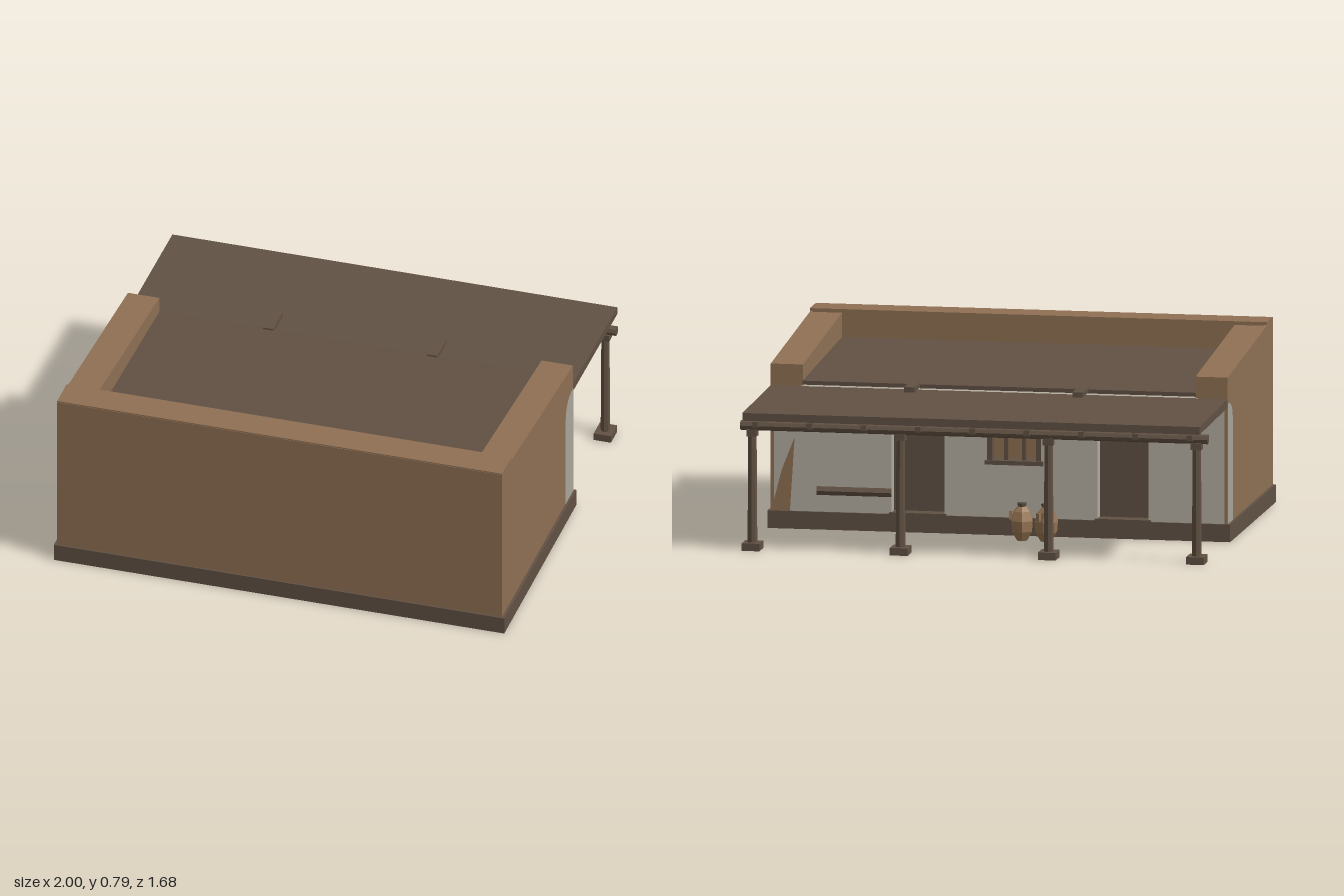
import * as THREE from 'three';

export function createModel() {
  const model = new THREE.Group();
  const mat = (name, color, side = THREE.FrontSide) =>
    Object.assign(new THREE.MeshStandardMaterial({ color, side, flatShading: true }), { name });
  const adobe = mat('adobe', 0x8f7054);
  const wood = mat('wood', 0x615143);
  const plaster = mat('plaster', 0xb4aea0);
  const clay = mat('clay', 0x977653);
  const bareAdobe = mat('bareAdobe', 0x8f7054, THREE.DoubleSide);
  const limewash = mat('limewash', 0xa9a69b, THREE.DoubleSide);

  const add = (name, geo, material, parent = model) => {
    const m = new THREE.Mesh(geo, material);
    m.name = name;
    parent.add(m);
    return m;
  };
  // Box given by its min and max along each axis
  const box = (name, material, x0, x1, y0, y1, z0, z1, parent = model) => {
    const m = add(name, new THREE.BoxGeometry(x1 - x0, y1 - y0, z1 - z0), material, parent);
    m.position.set((x0 + x1) / 2, (y0 + y1) / 2, (z0 + z1) / 2);
    return m;
  };
  const shapeOf = pts => new THREE.Shape(pts.map(p => new THREE.Vector2(p[0], p[1])));
  // Extrude a [z, y] outline along x between two x values, in either order
  const slab = (name, material, pts, xa, xb, parent = model) => {
    const depth = Math.abs(xb - xa);
    const g = new THREE.ExtrudeGeometry(shapeOf(pts.map(([z, y]) => [-z, y])), { depth, bevelEnabled: false });
    g.rotateY(Math.PI / 2).translate(Math.min(xa, xb), 0, 0);
    return add(name, g, material, parent);
  };

  // Outer walls: thin shell, open underneath
  box('frontWall', adobe, -0.978, 0.978, 0.01, 0.785, 0.822, 0.834);
  const sideOutline = [[0.822, 0.01], [-0.195, 0.01], [-0.195, 0.70], [0.70, 0.775], [0.822, 0.78]];
  for (const s of [-1, 1]) {
    slab('sideWall', adobe, sideOutline, s * 0.964, s * 0.978);
    // Hollow sloping parapet: coping, inner face and back end
    slab('sideCoping', adobe, [[0.70, 0.763], [-0.195, 0.688], [-0.195, 0.70], [0.70, 0.775]], s * 0.84, s * 0.964);
    slab('sideParapetFace', adobe, [[0.70, 0.66], [-0.195, 0.61], [-0.195, 0.69], [0.70, 0.765]], s * 0.84, s * 0.85);
    box('sideParapetEnd', adobe, s * 0.907 - 0.057, s * 0.907 + 0.057, 0.60, 0.69, -0.195, -0.185);
  }
  box('frontCoping', adobe, -0.978, 0.978, 0.778, 0.79, 0.695, 0.832);
  box('frontParapetFace', adobe, -0.964, 0.964, 0.66, 0.78, 0.695, 0.705);

  // Plinth band round the base
  const plinth = new THREE.Group();
  plinth.name = 'plinth';
  model.add(plinth);
  box('plinthFront', wood, -0.99, 0.99, 0, 0.075, 0.832, 0.842, plinth);
  box('plinthBack', wood, -0.99, 0.99, 0, 0.075, -0.205, -0.19, plinth);
  for (const s of [-1, 1]) box('plinthSide', wood, s * 0.983 - 0.007, s * 0.983 + 0.007, 0, 0.075, -0.19, 0.832, plinth);

  // Main roof deck, falling gently to the back
  slab('roofDeck', wood, [[0.70, 0.66], [-0.2, 0.615], [-0.2, 0.632], [0.70, 0.672]], -0.842, 0.842);
  for (const x of [-0.36, 0.36]) box('drainSpout', wood, x - 0.022, x + 0.022, 0.618, 0.64, -0.33, -0.19);

  // Plastered back wall with two doorways and a window
  const doors = [[0.235, 0.46], [-0.64, -0.42]];
  const win = [-0.18, 0.05, 0.31, 0.48];
  const wallShape = shapeOf([[-0.964, 0.07], [0.964, 0.07], [0.964, 0.605], [-0.964, 0.605]]);
  const hole = (x0, x1, y0, y1) =>
    wallShape.holes.push(new THREE.Path([[x0, y0], [x0, y1], [x1, y1], [x1, y0]].map(p => new THREE.Vector2(...p))));
  doors.forEach(([a, b]) => hole(a, b, 0.08, 0.50));
  hole(...win);
  const wallGeo = new THREE.ExtrudeGeometry(wallShape, { depth: 0.075, bevelEnabled: false });
  add('backWall', wallGeo, plaster).position.z = -0.196;

  for (const [a, b] of doors) {
    box('door', wood, a, b, 0.06, 0.50, -0.14, -0.115);
    box('doorLintel', wood, a - 0.02, b + 0.02, 0.50, 0.53, -0.203, -0.15);
    box('doorStep', wood, a - 0.01, b + 0.01, 0.055, 0.082, -0.205, -0.12);
  }

  // Window frame, bars, sill and lintel
  const [wx0, wx1, wy0, wy1] = win;
  for (const x of [wx0, wx1 - 0.02]) box('windowJamb', wood, x, x + 0.02, wy0, wy1, -0.204, -0.16);
  for (let i = 1; i <= 2; i++) {
    const x = wx0 + (wx1 - wx0) * i / 3;
    box('windowBar', wood, x - 0.008, x + 0.008, wy0, wy1, -0.185, -0.165);
  }
  box('windowSill', wood, wx0 - 0.01, wx1 + 0.01, wy0 - 0.01, wy0 + 0.008, -0.21, -0.13);
  box('windowLintel', wood, wx0 - 0.01, wx1 + 0.01, wy1 - 0.01, wy1 + 0.015, -0.204, -0.13);

  // Pole along the wall
  const pole = add('wallPole', new THREE.CylinderGeometry(0.021, 0.021, 0.32, 6), wood);
  pole.rotation.z = Math.PI / 2;
  pole.position.set(0.62, 0.165, -0.19);

  // Place where the plaster has fallen away
  const patch = shapeOf([[0.975, 0.075], [0.895, 0.075], [0.875, 0.39], [0.93, 0.25]]);
  add('fallenPlaster', new THREE.ShapeGeometry(patch), bareAdobe).position.z = -0.199;

  // Limewash returning round the back corners, rounded at the top
  for (const s of [-1, 1]) {
    const sh = new THREE.Shape();
    sh.moveTo(0.195, 0.075);
    sh.lineTo(0.195, 0.59);
    sh.quadraticCurveTo(0.09, 0.59, 0.085, 0.50);
    sh.lineTo(0.085, 0.075);
    const g = new THREE.ShapeGeometry(sh, 6).rotateY(Math.PI / 2);
    add('cornerLimewash', g, limewash).position.x = s * 0.9795;
  }

  // Porch: roof sheet, rafters, beam and posts
  const porch = new THREE.Group();
  porch.name = 'porch';
  model.add(porch);
  slab('porchRoof', wood, [[-0.195, 0.572], [-0.84, 0.562], [-0.84, 0.595], [-0.195, 0.608]], -0.978, 0.978, porch);
  for (let i = 0; i < 9; i++) {
    const x = -0.93 + i * 0.2325;
    slab('rafter', wood, [[-0.195, 0.552], [-0.815, 0.53], [-0.815, 0.554], [-0.195, 0.573]], x - 0.012, x + 0.012, porch);
  }
  const beam = add('porchBeam', new THREE.CylinderGeometry(0.021, 0.021, 2, 8), wood, porch);
  beam.rotation.z = Math.PI / 2;
  beam.position.set(0, 0.53, -0.758);
  for (let i = 0; i < 4; i++) {
    const x = -0.951 + i * 0.634;
    box('postFoot', wood, x - 0.038, x + 0.038, 0, 0.032, -0.80, -0.71, porch);
    const post = add('post', new THREE.CylinderGeometry(0.018, 0.021, 0.46, 8), wood, porch);
    post.position.set(x, 0.26, -0.755);
    box('postCap', wood, x - 0.022, x + 0.022, 0.485, 0.515, -0.777, -0.735, porch);
  }

  // Pair of clay water jars
  const lathe = pts => new THREE.LatheGeometry(pts.map(p => new THREE.Vector2(...p)), 6);
  [[-0.12, -0.315, 0.2], [-0.225, -0.322, 1]].forEach(([x, z, turn]) => {
    const jar = new THREE.Group();
    jar.name = 'waterJar';
    add('jarBody', lathe([[0, 0], [0.024, 0], [0.048, 0.04], [0.052, 0.085], [0.038, 0.125], [0.02, 0.145], [0, 0.145]]), clay, jar);
    add('jarRim', lathe([[0.018, 0.143], [0.023, 0.16], [0, 0.16]]), wood, jar);
    const handle = add('jarHandle', new THREE.BoxGeometry(0.014, 0.035, 0.016), clay, jar);
    handle.position.set(0.047, 0.108, 0);
    jar.position.set(x, 0, z);
    jar.rotation.y = turn;
    model.add(jar);
  });

  return model;
}
